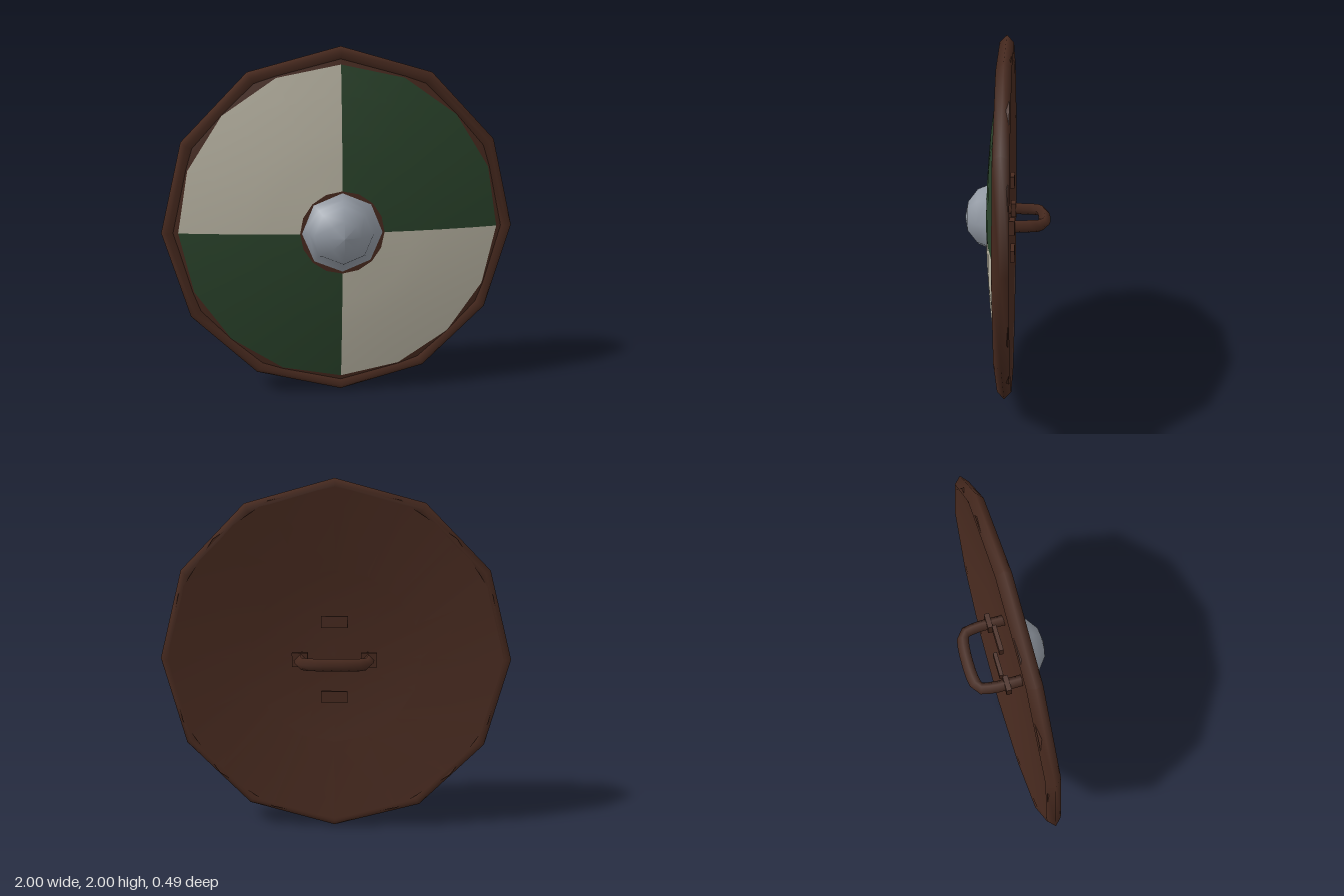
import * as THREE from 'three';
import { toCreasedNormals } from 'three/addons/utils/BufferGeometryUtils.js';

const mat = (name, color, side = THREE.FrontSide) =>
  new THREE.MeshStandardMaterial({ name, color, side });

export function createModel() {
  const wood = mat('dark wood', 0x482a1f);
  const cream = mat('cream paint', 0xbab5a4, THREE.DoubleSide);
  const green = mat('green paint', 0x2a432b, THREE.DoubleSide);
  const steel = mat('steel', 0x939aa4);

  const shield = new THREE.Group();
  shield.name = 'roundShield';
  const add = (name, geometry, material, x = 0, y = 0, z = 0) => {
    const mesh = new THREE.Mesh(geometry, material);
    mesh.name = name;
    mesh.position.set(x, y, z);
    shield.add(mesh);
    return mesh;
  };

  // Profiles are [radius, z], turned about the z axis
  const turn = (pts, segments, start = 0, length = Math.PI * 2) =>
    new THREE.LatheGeometry(pts.map(([r, z]) => new THREE.Vector2(r, z)), segments, start, length)
      .rotateX(Math.PI / 2);
  const dome = (r) => 0.11 - 0.11 * r * r;

  // Domed wooden board with a hollow back
  const back = [[0, 0.07], [0.5, 0.035], [0.95, -0.028]];
  const front = [0.95, 0.905, 0.75, 0.55, 0.4, 0.235, 0].map((r) => [r, dome(r)]);
  add('board', toCreasedNormals(turn([...back, ...front], 16), 0.6), wood);

  // Four painted quarters, lying just above the board
  const paint = [0.905, 0.75, 0.55, 0.4, 0.235].map((r) => [r, dome(r) + 0.004]);
  for (let i = 0; i < 4; i++) {
    add('paintedQuarter' + (i + 1), turn(paint, 4, i * Math.PI / 2, Math.PI / 2), i % 2 ? green : cream);
  }

  // Twelve-sided rim with a diamond section
  add('rim', new THREE.TorusGeometry(0.962, 0.038, 4, 12), wood, 0, 0, 0.004);

  // Central boss with a narrow flange
  add('boss', turn([[0.226, 0.09], [0.224, 0.106], [0.184, 0.116], [0.163, 0.168], [0.09, 0.224], [0, 0.242]], 8), steel);

  // Hand grip with a diamond section, its ends let into the board
  const path = new THREE.CatmullRomCurve3([
    [-0.19, 0.06], [-0.19, -0.02], [-0.188, -0.1], [-0.168, -0.185], [-0.11, -0.204], [0, -0.21],
    [0.11, -0.204], [0.168, -0.185], [0.188, -0.1], [0.19, -0.02], [0.19, 0.06],
  ].map(([x, z]) => new THREE.Vector3(x, 0, z)));
  add('handGrip', new THREE.TubeGeometry(path, 18, 0.034, 4), wood);

  // Grip feet and back plates
  for (const s of [1, -1]) {
    add(s > 0 ? 'leftGripFoot' : 'rightGripFoot', new THREE.BoxGeometry(0.09, 0.08, 0.03), wood, s * 0.195, 0, -0.03);
    add(s > 0 ? 'upperBackPlate' : 'lowerBackPlate', new THREE.BoxGeometry(0.15, 0.065, 0.024), wood, 0, s * 0.215, -0.028);
  }

  // Stand on the ground
  shield.children.forEach((c) => { c.position.y += 1; });
  return shield;
}
